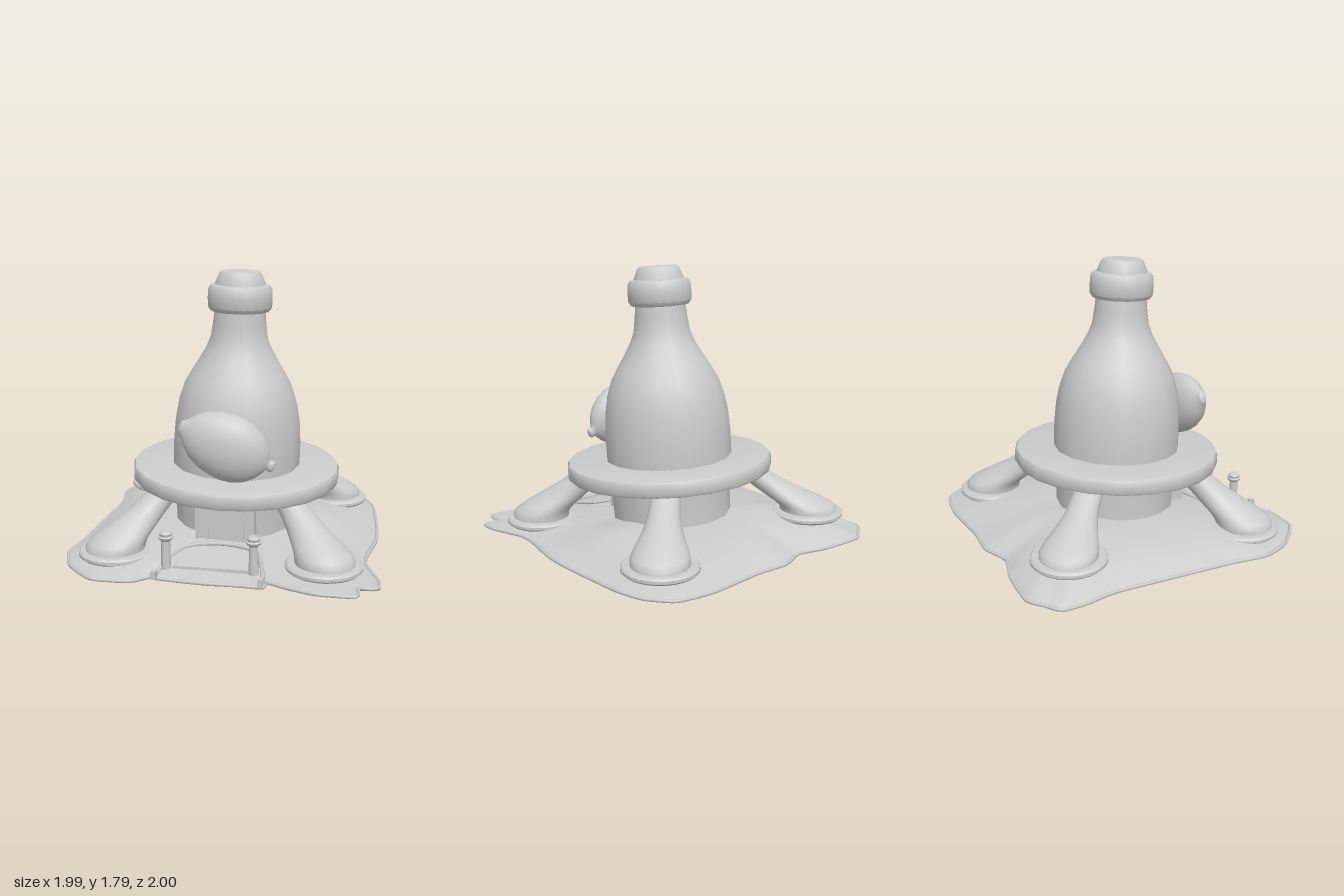
import * as THREE from 'three';
import { toCreasedNormals } from 'three/addons/utils/BufferGeometryUtils.js';

const material = new THREE.MeshStandardMaterial({ color: 0xcccccc, side: THREE.DoubleSide });

function add(parent, name, geometry, x = 0, y = 0, z = 0) {
  const mesh = new THREE.Mesh(geometry, material);
  mesh.name = name;
  mesh.position.set(x, y, z);
  parent.add(mesh);
  return mesh;
}

const lathe = (points, sides) =>
  toCreasedNormals(new THREE.LatheGeometry(points.map(p => new THREE.Vector2(...p)), sides), 0.65);

const extrude = (shape, depth) =>
  new THREE.ExtrudeGeometry(shape, { depth, bevelEnabled: false, curveSegments: 6 });

// Surface through closed rings: at(row, col) gives each point
function loft(rows, cols, at) {
  const positions = [], index = [];
  for (let i = 0; i <= rows; i++)
    for (let j = 0; j < cols; j++) positions.push(...at(i, j));
  for (let i = 0; i < rows; i++)
    for (let j = 0; j < cols; j++) {
      const k = (j + 1) % cols, a = i * cols, b = a + cols;
      index.push(a + j, b + j, a + k, a + k, b + j, b + k);
    }
  const geometry = new THREE.BufferGeometry();
  geometry.setAttribute('position', new THREE.Float32BufferAttribute(positions, 3));
  geometry.setIndex(index);
  geometry.computeVertexNormals();
  return geometry;
}

// Upright rectangle with rounded top corners
function archShape(half, bottom, top, r, Type = THREE.Shape) {
  const s = new Type();
  s.moveTo(-half, bottom);
  s.lineTo(half, bottom);
  s.lineTo(half, top - r);
  s.quadraticCurveTo(half, top, half - r, top);
  s.lineTo(r - half, top);
  s.quadraticCurveTo(-half, top, -half, top - r);
  s.closePath();
  return s;
}

// Wavy ground outline, as x and z
const outline = [
  [-0.79, -0.96], [-0.5, -0.95], [-0.29, -0.9], [-0.1, -0.97], [0.14, -0.96], [0.51, -0.99],
  [0.75, -0.95], [0.88, -0.8], [0.93, -0.61], [0.96, -0.13], [0.95, 0.08], [0.9, 0.35],
  [0.9, 0.5], [0.98, 0.73], [0.98, 0.85], [0.87, 0.86], [0.86, 0.98], [0.62, 0.98],
  [0.43, 0.91], [0.33, 0.86], [0.32, 0.94], [0.15, 0.935], [0, 0.94], [-0.17, 0.93],
  [-0.34, 0.91], [-0.36, 0.89], [-0.47, 0.98], [-0.71, 0.98], [-0.9, 0.8], [-0.98, 0.6],
  [-0.96, 0.35], [-0.95, 0], [-0.94, -0.45], [-0.98, -0.67], [-0.98, -0.82], [-0.9, -0.88],
];

// Ground height at a spot, t being the share of the way to the edge
function groundHeight(x, z, t) {
  const slope = Math.max(0.03, 0.115 - 0.055 * x - 0.06 * z) * (1 - t ** 3);
  const hump = 0.05 * Math.exp(-((x - 0.5) ** 2 + (z + 0.12) ** 2) / 0.07) * (1 - t ** 6);
  return 0.015 + slope + hump;
}

function buildGround(model) {
  const edge = new THREE.CatmullRomCurve3(
    outline.map(([x, z]) => new THREE.Vector3(x, 0.012, z)), true, 'catmullrom', 0.25);
  const rim = edge.getPoints(144).slice(0, 144);
  add(model, 'groundSheet', loft(16, rim.length, (i, j) => {
    const t = 1 - i / 16, x = rim[j].x * t, z = rim[j].z * t;
    return [x, groundHeight(x, z, t), z];
  }));
  add(model, 'groundRim', new THREE.TubeGeometry(edge, 180, 0.012, 6, true));
}

function buildLegs(model) {
  // Height share, inward share, radius along the lean and radius across it
  const rings = [[0, -0.02, 0.19, 0.18], [0.09, -0.02, 0.19, 0.182], [0.18, 0.03, 0.186, 0.175],
    [0.28, 0.14, 0.178, 0.157], [0.39, 0.29, 0.168, 0.134], [0.52, 0.46, 0.153, 0.113],
    [0.66, 0.64, 0.136, 0.1], [0.82, 0.82, 0.122, 0.095], [1, 1, 0.112, 0.093]];
  const feet = [[-0.65, 0.07, 0.63], [0.65, 0.055, 0.63], [0.63, 0.095, -0.65], [-0.66, 0.15, -0.63]];
  for (const [x, y, z] of feet) {
    const leg = new THREE.Group();
    leg.name = 'leg';
    leg.position.set(x, 0, z);
    leg.rotation.y = Math.atan2(-z, x);
    const reach = Math.hypot(x, z) - 0.51;
    add(leg, 'legColumn', loft(rings.length - 1, 24, (i, j) => {
      const [h, d, along, across] = rings[i], a = j / 24 * Math.PI * 2;
      return [along * Math.cos(a) - reach * d, y + (0.44 - y) * h, across * Math.sin(a)];
    }));
    add(leg, 'footPlate', lathe([[0, -0.03], [0.225, -0.03], [0.238, -0.018], [0.238, 0], [0.225, 0.012],
      [0.2, 0.014], [0, 0.014]], 28), 0, y);
    model.add(leg);
  }
}

function buildBottle(model) {
  // Bottle and round deck lean together
  const tower = new THREE.Group();
  tower.name = 'bottleTower';
  tower.position.x = -0.005;
  tower.rotation.set(0.05, 0, -0.03);
  model.add(tower);
  add(tower, 'bottle', lathe([[0.4, 0.09], [0.405, 0.3], [0.425, 0.5], [0.425, 0.68], [0.415, 0.82],
    [0.395, 0.93], [0.36, 1.04], [0.315, 1.12], [0.26, 1.21], [0.215, 1.29], [0.188, 1.36], [0.175, 1.45],
    [0.165, 1.55]], 16));
  add(tower, 'neckCollar', lathe([[0.155, 1.53], [0.19, 1.535], [0.208, 1.56], [0.21, 1.62], [0.207, 1.675],
    [0.19, 1.698], [0.15, 1.705]], 20));
  add(tower, 'stopper', lathe([[0.168, 1.69], [0.164, 1.71], [0.14, 1.77], [0.126, 1.785], [0.1, 1.787],
    [0, 1.782]], 16));
  add(tower, 'roundDeck', lathe([[0.38, 0.41], [0.66, 0.41], [0.68, 0.417], [0.69, 0.435], [0.69, 0.495],
    [0.68, 0.513], [0.66, 0.52], [0.38, 0.52]], 22));
}

function buildLemon(model) {
  const profile = [[0, -0.315], [0.035, -0.312], [0.047, -0.298], [0.06, -0.28], [0.11, -0.24], [0.153, -0.19],
    [0.19, -0.11], [0.207, -0.03], [0.21, 0.05], [0.195, 0.12], [0.16, 0.19], [0.11, 0.24], [0.06, 0.27],
    [0.03, 0.28], [0.037, 0.292], [0.036, 0.312], [0.022, 0.322], [0, 0.322]];
  const lemon = add(model, 'lemon',
    new THREE.LatheGeometry(profile.map(p => new THREE.Vector2(...p)), 28), 0.03, 0.74, 0.53);
  lemon.scale.z = 0.6;
  lemon.rotation.set(0, 0.05, -Math.PI / 2 - 0.4);
}

function buildEntrance(model) {
  const frame = archShape(0.19, 0.05, 0.385, 0.07);
  frame.holes.push(archShape(0.175, 0.06, 0.37, 0.06, THREE.Path));
  const inner = archShape(0.12, 0.08, 0.315, 0.04);
  inner.holes.push(archShape(0.105, 0.09, 0.3, 0.035, THREE.Path));
  add(model, 'doorFrame', extrude(frame, 0.13), 0.005, 0, 0.32);
  add(model, 'doorPanel', extrude(archShape(0.18, 0.05, 0.375, 0.06), 0.11), 0.005, 0, 0.325);
  add(model, 'doorMoulding', extrude(inner, 0.015), 0.005, 0, 0.43);

  // Thin rectangular footing below the porch
  const footing = archShape(0.25, -0.81, -0.45, 0.01);
  footing.holes.push(archShape(0.235, -0.795, -0.465, 0.01, THREE.Path));
  add(model, 'porchFooting', extrude(footing, 0.035), 0, 0.02, 0).rotation.x = -Math.PI / 2;

  // Raised edging around the porch
  const path = [[-0.33, 0.03, 0.9], [-0.3, 0.06, 0.72], [-0.22, 0.09, 0.57], [0, 0.1, 0.51],
    [0.22, 0.085, 0.57], [0.28, 0.055, 0.72], [0.32, 0.03, 0.92]];
  add(model, 'porchEdging', new THREE.TubeGeometry(
    new THREE.CatmullRomCurve3(path.map(p => new THREE.Vector3(...p))), 40, 0.012, 6));

  for (const x of [-0.29, 0.245]) {
    add(model, 'porchPost', lathe([[0, 0.02], [0.03, 0.02], [0.027, 0.21], [0.044, 0.225], [0.047, 0.236],
      [0.036, 0.243], [0.041, 0.258], [0.03, 0.27], [0, 0.274]], 14), x, 0, 0.8);
  }
  for (const [x, z] of [[-0.335, 0.925], [0.305, 0.935]])
    add(model, 'porchEndBlock', new THREE.BoxGeometry(0.03, 0.05, 0.04), x, 0.04, z);
}

export function createModel() {
  const model = new THREE.Group();
  model.name = 'bottleHouse';
  buildGround(model);
  buildLegs(model);
  buildBottle(model);
  buildLemon(model);
  buildEntrance(model);
  return model;
}
